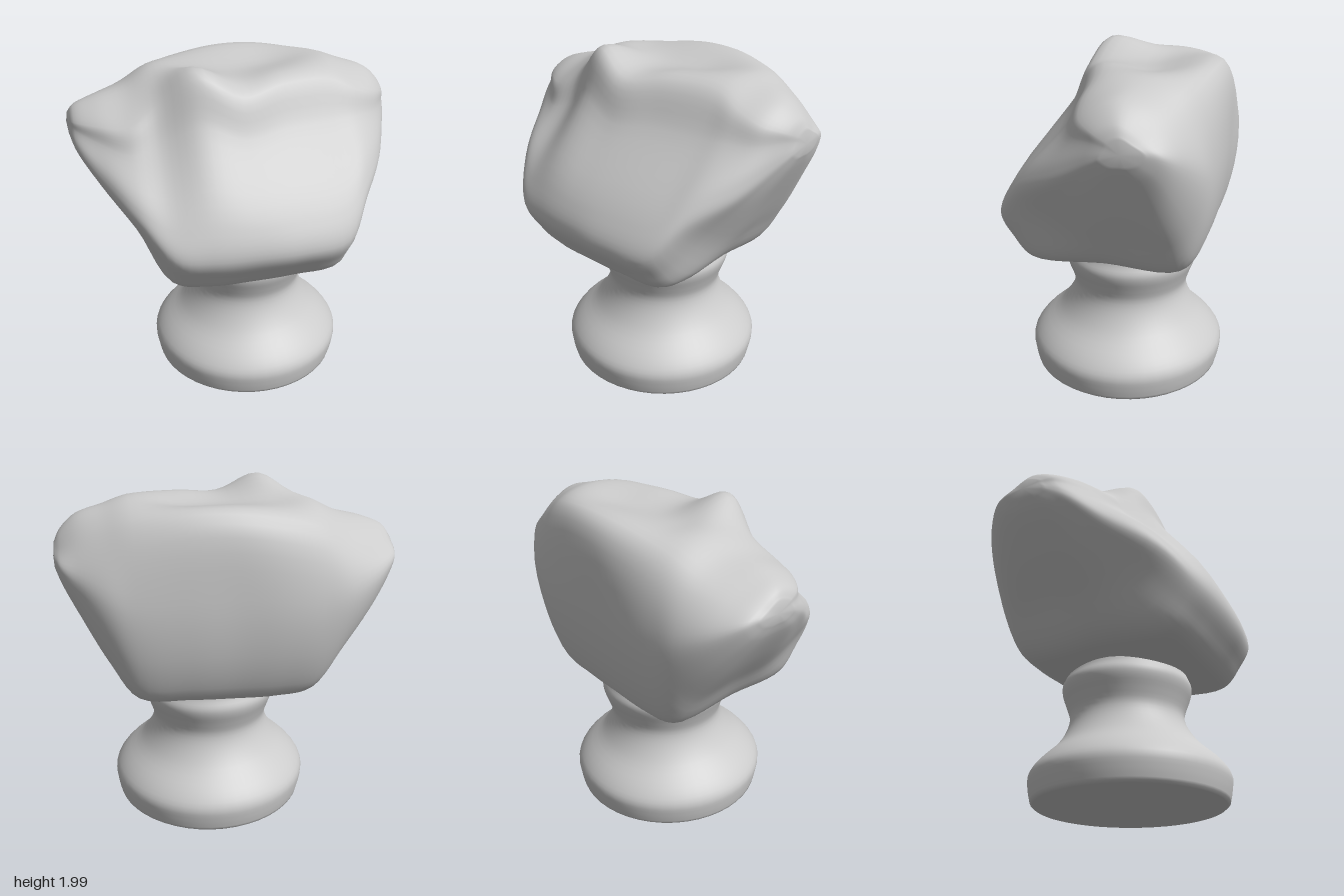
import * as THREE from 'three';

const material = new THREE.MeshStandardMaterial({ color: 0xcccccc, side: THREE.DoubleSide });

// Torso slices from right shoulder to left shoulder:
// x, yBottom, zBottomFront, zBelly, yBelly, zNeck, yNeck, yTopMid, zTopBack, yTopBack, zBack
const SLICES = [
  [-0.955, 1.57, -0.17, -0.11, 1.6, -0.14, 1.66, 1.685, -0.29, 1.65, -0.34],
  [-0.92, 1.49, -0.08, 0.01, 1.54, -0.05, 1.68, 1.735, -0.33, 1.67, -0.43],
  [-0.8, 1.3, 0, 0.2, 1.4, 0.06, 1.69, 1.785, -0.41, 1.69, -0.54],
  [-0.63, 1.07, 0.12, 0.45, 1.25, 0.14, 1.7, 1.83, -0.48, 1.74, -0.62],
  [-0.46, 0.84, 0.42, 0.61, 1.1, 0.08, 1.83, 1.91, -0.52, 1.82, -0.645],
  [-0.25, 0.81, 0.46, 0.65, 1.08, 0.14, 1.99, 1.91, -0.55, 1.88, -0.655],
  [0, 0.81, 0.46, 0.66, 1.08, 0.19, 1.88, 1.89, -0.57, 1.92, -0.645],
  [0.25, 0.82, 0.455, 0.655, 1.08, 0.1, 1.91, 1.9, -0.55, 1.92, -0.64],
  [0.54, 0.845, 0.42, 0.6, 1.1, 0.04, 1.9, 1.94, -0.49, 1.86, -0.61],
  [0.69, 1.06, 0.1, 0.43, 1.28, 0.06, 1.83, 1.905, -0.43, 1.81, -0.57],
  [0.83, 1.32, 0, 0.22, 1.41, 0.04, 1.77, 1.86, -0.36, 1.76, -0.48],
  [0.92, 1.5, -0.1, 0, 1.55, -0.05, 1.73, 1.78, -0.3, 1.71, -0.4],
  [0.955, 1.58, -0.15, -0.1, 1.61, -0.14, 1.69, 1.715, -0.25, 1.69, -0.31],
];

// Outline of one slice, running up the front, over the top and down the back
function outline([x, yBot, zBF, zBelly, yBelly, zNeck, yNeck, yMid, zTB, yTB, zBack]) {
  const h = yTB - yBot;
  const zBB = zBack * 0.72;
  const swell = 0.05 * Math.min(1, (1 - Math.abs(x)) / 0.4); // chest curves out low, in high
  const points = [
    [zBF, yBot],
    [zBF + (zBelly - zBF) * 0.6, yBot + (yBelly - yBot) * 0.45],
    [zBelly, yBelly],
    [zBelly * 0.75 + zNeck * 0.25 + swell, yBelly * 0.75 + yNeck * 0.25],
    [zBelly * 0.3 + zNeck * 0.7 - swell * 0.3, yBelly * 0.3 + yNeck * 0.7],
    [zNeck, yNeck],
    [(zNeck + zTB) / 2, yMid],
    [zTB, yTB],
    [zBack, yBot + h * 0.6],
    [zBack + (zBB - zBack) * 0.35, yBot + h * 0.17],
    [zBB, yBot],
    [(zBF + zBB) / 2, yBot],
  ];
  return points.map(([z, y]) => new THREE.Vector3(x, y, z));
}

function loftTorso() {
  const nx = 60, nj = 72;
  const outlines = SLICES.map(outline);
  const rails = outlines[0].map((_, k) => new THREE.CatmullRomCurve3(outlines.map((o) => o[k])));
  const positions = [], index = [];
  for (let i = 0; i <= nx; i++) {
    const ring = new THREE.CatmullRomCurve3(rails.map((r) => r.getPoint(i / nx)), true);
    for (let j = 0; j < nj; j++) positions.push(...ring.getPoint(j / nj).toArray());
  }
  for (let i = 0; i < nx; i++) {
    for (let j = 0; j < nj; j++) {
      const k = (j + 1) % nj;
      const a = i * nj + j, b = a + nj, c = i * nj + k, d = c + nj;
      index.push(a, b, c, b, d, c);
    }
  }
  // Rounded shoulder tips
  const right = positions.length / 3, left = right + 1, last = nx * nj;
  positions.push(-0.965, 1.625, -0.23, 0.962, 1.64, -0.2);
  for (let j = 0; j < nj; j++) {
    const k = (j + 1) % nj;
    index.push(right, j, k, left, last + k, last + j);
  }
  const geometry = new THREE.BufferGeometry();
  geometry.setAttribute('position', new THREE.Float32BufferAttribute(positions, 3));
  geometry.setIndex(index);
  geometry.computeVertexNormals();
  return geometry;
}

// Turned pedestal with a slightly hollow underside and a waisted stem
function turnPedestal() {
  const foot = [[0, 0.05], [0.3, 0.04], [0.5, 0.012], [0.565, 0.006]];
  const side = [[0.582, 0.02], [0.597, 0.09], [0.6, 0.17], [0.545, 0.25], [0.44, 0.35],
    [0.375, 0.45], [0.35, 0.54], [0.37, 0.62], [0.395, 0.69], [0.4, 0.74], [0.38, 0.79], [0.37, 0.84]];
  const v = (list) => list.map(([r, y]) => new THREE.Vector2(r, y));
  const profile = [...v(foot), ...new THREE.SplineCurve(v(side)).getPoints(36), new THREE.Vector2(0, 0.86)];
  const geometry = new THREE.LatheGeometry(profile, 48);
  // The stem sits slightly behind the middle of the foot
  const p = geometry.attributes.position;
  for (let i = 0; i < p.count; i++) {
    p.setZ(i, p.getZ(i) - 0.022 * THREE.MathUtils.smoothstep(p.getY(i), 0.25, 0.6));
  }
  return geometry;
}

export function createModel() {
  const group = new THREE.Group();
  group.name = 'bust';

  const torso = new THREE.Mesh(loftTorso(), material);
  torso.name = 'torso';

  const pedestal = new THREE.Mesh(turnPedestal(), material);
  pedestal.name = 'pedestal';
  pedestal.position.set(0.08, 0, -0.04);

  group.add(torso, pedestal);
  return group;
}
